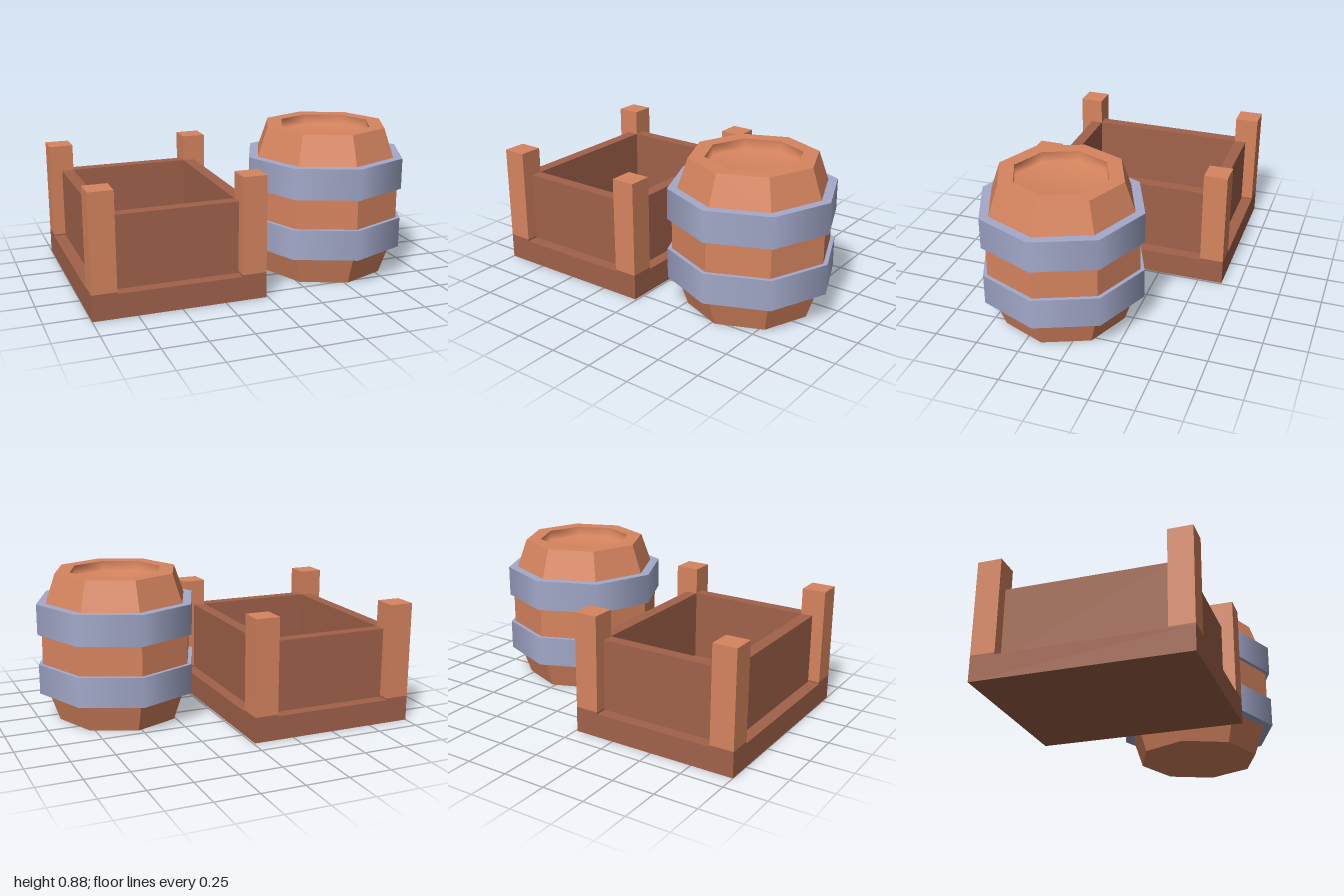
import * as THREE from 'three';
import { mergeGeometries } from 'three/addons/utils/BufferGeometryUtils.js';

const lightWood = new THREE.MeshStandardMaterial({ color: 0xd7855f });
lightWood.name = 'lightWood';
const darkWood = new THREE.MeshStandardMaterial({ color: 0xa1624a });
darkWood.name = 'darkWood';
const metal = new THREE.MeshStandardMaterial({ color: 0xa3a9ca });
metal.name = 'metal';

const SIDES = 8;

function add(parent, name, geometry, material, x = 0, y = 0, z = 0) {
  const mesh = new THREE.Mesh(geometry, material);
  mesh.name = name;
  mesh.position.set(x, y, z);
  parent.add(mesh);
  return mesh;
}

// Box standing on height y
function block(parent, name, material, w, h, d, x, y, z) {
  return add(parent, name, new THREE.BoxGeometry(w, h, d), material, x, y + h / 2, z);
}

// Turned profile, listed from bottom to top, given as [radius, height]
function turned(points) {
  return new THREE.LatheGeometry(points.map(([r, y]) => new THREE.Vector2(r, y)), SIDES);
}

function faceted(geometry) {
  const flat = geometry.toNonIndexed();
  flat.computeVertexNormals();
  return flat;
}

function createCrate() {
  const crate = new THREE.Group();
  crate.name = 'crate';
  const W = 0.99, D = 1.21, post = 0.14, wall = 0.07, base = 0.14;
  block(crate, 'crateBase', darkWood, W, base, D, 0, 0, 0);

  // Corner posts on small dark feet
  const px = (W - post) / 2, pz = (D - post) / 2;
  for (const sx of [-1, 1]) {
    for (const sz of [-1, 1]) {
      block(crate, 'postFoot', darkWood, post, 0.01, post, sx * px, base, sz * pz);
      block(crate, 'cornerPost', lightWood, post, 0.56, post, sx * px, 0.15, sz * pz);
    }
  }

  // Walls flush with the inner faces of the posts
  const height = 0.555 - base;
  for (const s of [-1, 1]) {
    block(crate, 'sideWall', darkWood, wall, height, D - 2 * post,
      s * (W / 2 - post + wall / 2), base, 0);
    block(crate, 'endWall', darkWood, W - 2 * post, height, wall,
      0, base, s * (D / 2 - post + wall / 2));
  }
  return crate;
}

function createBarrel() {
  const barrel = new THREE.Group();
  barrel.name = 'barrel';

  // Faceted staves, bottom and top rim
  add(barrel, 'barrelBody', faceted(turned([
    [0, 0], [0.365, 0], [0.425, 0.175], [0.455, 0.35], [0.455, 0.53],
    [0.425, 0.71], [0.365, 0.88], [0.275, 0.88],
  ])), lightWood);

  // Softly shaded recess in the lid
  add(barrel, 'lidRecess', turned([[0.275, 0.88], [0.275, 0.82], [0, 0.82]]), lightWood);

  // Hoops: smooth outside, flat top and bottom ledges
  const outer = 0.48, inner = 0.42;
  for (const [low, high] of [[0.175, 0.352], [0.53, 0.71]]) {
    const hoop = mergeGeometries([
      turned([[inner, low], [outer, low]]),
      turned([[outer, low], [outer, high]]),
      turned([[outer, high], [inner, high]]),
    ]);
    add(barrel, 'hoop', hoop, metal);
  }
  return barrel;
}

export function createModel() {
  const model = new THREE.Group();
  model.name = 'crateAndBarrel';
  const crate = createCrate();
  crate.position.set(-0.505, 0, -0.04);
  const barrel = createBarrel();
  barrel.position.set(0.52, 0, 0.162);
  model.add(crate, barrel);
  return model;
}
